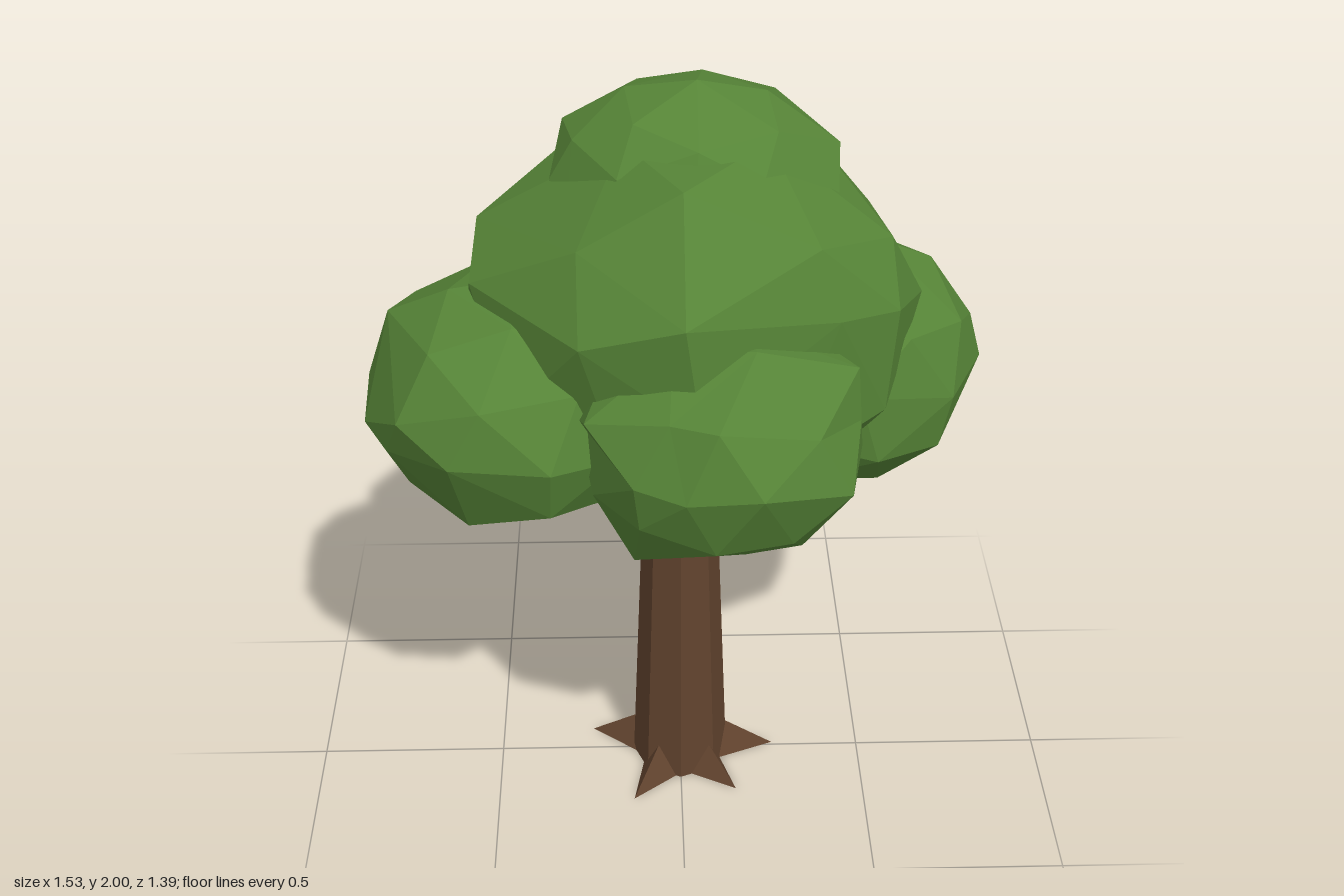
import * as THREE from 'three';

const leaf = new THREE.MeshStandardMaterial({ color: 0x568437, flatShading: true });
leaf.name = 'leafGreen';
const bark = new THREE.MeshStandardMaterial({ color: 0x61432e, flatShading: true });
bark.name = 'barkBrown';

// Faceted leaf clump filling the box min..max; each peak pulls its nearest corner to itself
function clump(name, min, max, rotation, peaks) {
  const geo = new THREE.IcosahedronGeometry(1, 1);
  geo.rotateX(rotation[0]).rotateY(rotation[1]).rotateZ(rotation[2]);
  geo.computeBoundingBox();
  const size = geo.boundingBox.getSize(new THREE.Vector3());
  geo.scale(...['x', 'y', 'z'].map((k, i) => (max[i] - min[i]) / size[k]));
  geo.translate(...min.map((n, i) => (n + max[i]) / 2));

  // Gather coincident corners so that they move together
  const pos = geo.attributes.position;
  const corners = [];
  for (let i = 0; i < pos.count; i++) {
    const p = new THREE.Vector3().fromBufferAttribute(pos, i);
    const same = corners.find((c) => c.p.distanceTo(p) < 0.01);
    if (same) same.ids.push(i);
    else corners.push({ p, ids: [i] });
  }
  for (const peak of peaks) {
    const target = new THREE.Vector3(...peak);
    corners.sort((a, b) => a.p.distanceTo(target) - b.p.distanceTo(target));
    const { ids } = corners.shift();
    ids.forEach((i) => pos.setXYZ(i, ...peak));
  }
  geo.computeVertexNormals();
  const mesh = new THREE.Mesh(geo, leaf);
  mesh.name = name;
  return mesh;
}

// Tapered limb running from one point to another
function limb(name, from, to, r0, r1, sides) {
  const a = new THREE.Vector3(...from);
  const b = new THREE.Vector3(...to);
  const dir = b.clone().sub(a);
  const geo = new THREE.CylinderGeometry(r1, r0, dir.length(), sides);
  geo.applyQuaternion(new THREE.Quaternion().setFromUnitVectors(new THREE.Vector3(0, 1, 0), dir.normalize()));
  geo.translate(...a.add(b).multiplyScalar(0.5).toArray());
  const mesh = new THREE.Mesh(geo, bark);
  mesh.name = name;
  return mesh;
}

// Ridged root pointing outward, flat on the ground
function root(x, z) {
  const start = 0.07;
  const length = Math.hypot(x, z) - start;
  const geo = new THREE.ConeGeometry(0.125, length, 4);
  geo.rotateX(Math.PI / 2).scale(0.55, 1, 1).translate(0, 0, start + length / 2);
  const pos = geo.attributes.position;
  for (let i = 0; i < pos.count; i++) pos.setY(i, Math.max(0, pos.getY(i)));
  geo.rotateY(Math.atan2(x, z));
  geo.computeVertexNormals();
  const mesh = new THREE.Mesh(geo, bark);
  mesh.name = 'root';
  return mesh;
}

export function createModel() {
  const tree = new THREE.Group();
  tree.name = 'tree';

  // Eight-sided trunk
  tree.add(limb('trunk', [0, 0, 0], [0, 1.15, 0], 0.13, 0.086, 8));

  const roots = new THREE.Group();
  roots.name = 'roots';
  for (const [x, z] of [[0.26, -0.01], [0.15, 0.18], [-0.13, 0.215], [-0.245, -0.08], [0.01, -0.225]]) {
    roots.add(root(x, z));
  }
  tree.add(roots);

  // Branches reaching toward the side and back clumps
  const branches = new THREE.Group();
  branches.name = 'branches';
  for (const [x, z] of [[0.24, -0.07], [-0.24, 0.08], [-0.05, -0.2]]) {
    branches.add(limb('branch', [x * 0.2, 0.85, z * 0.2], [x, 1.07, z], 0.045, 0.035, 5));
  }
  tree.add(branches);

  // Crown of six overlapping clumps
  const crown = new THREE.Group();
  crown.name = 'crown';
  crown.add(
    clump('middleClump', [-0.52, 0.98, -0.53], [0.59, 1.88, 0.53], [-0.47, 0, 0], [
      [0, 1.88, 0.31], [0, 1.65, 0.53], [0.5, 1.66, 0.1], [0.59, 1.47, 0.02], [0.36, 1.57, 0.35],
      [-0.49, 1.65, -0.05], [-0.5, 1.58, 0.16], [-0.24, 1.56, 0.45], [-0.08, 1.68, -0.52],
    ]),
    clump('topClump', [-0.31, 1.55, -0.35], [0.38, 1.98, 0.22], [0.3, 0.5, 0.1], [
      [0.04, 2, -0.04], [0.38, 1.84, -0.04], [0.37, 1.73, 0.09], [0.24, 1.75, 0.24],
      [-0.28, 1.86, -0.15], [-0.31, 1.77, 0], [0.15, 1.84, -0.34], [-0.13, 1.96, -0.1],
    ]),
    clump('frontClump', [-0.25, 1.0, 0.02], [0.425, 1.56, 0.68], [0.2, 0.3, 0.4], [
      [0.17, 1.31, 0.695], [0.07, 1.46, 0.65], [0.38, 1.25, 0.58], [0.4, 1.48, 0.4], [0.16, 1.565, 0.47],
      [-0.23, 1.4, 0.5], [0.28, 1.02, 0.45], [-0.12, 1.02, 0.5], [-0.12, 1.3, 0.62],
    ]),
    clump('rightClump', [-0.77, 0.94, -0.27], [-0.03, 1.56, 0.49], [0.5, 0.2, 0.1], [
      [-0.77, 1.27, 0.04], [-0.71, 1.45, 0.05], [-0.71, 1.2, 0.29], [-0.55, 1.25, 0.46],
      [-0.31, 1.25, 0.49], [-0.65, 1.3, -0.18], [-0.4, 1.57, 0.12], [-0.59, 0.95, 0.12], [-0.36, 0.94, 0.2],
    ]),
    clump('leftClump', [0.04, 0.915, -0.49], [0.75, 1.53, 0.26], [0.1, 0.7, 0.3], [
      [0.765, 1.23, -0.08], [0.69, 1.23, -0.31], [0.67, 1.23, 0.13], [0.58, 1.46, -0.1],
      [0.53, 1.25, -0.49], [0.28, 1.25, -0.49], [0.6, 0.93, -0.25], [0.38, 0.915, -0.13], [0.45, 1.535, -0.17],
    ]),
    clump('backClump', [-0.455, 1.08, -0.69], [0.285, 1.64, 0.03], [0.4, 1.0, 0.2], [
      [-0.08, 1.36, -0.7], [-0.3, 1.27, -0.64], [-0.455, 1.35, -0.48], [0.05, 1.5, -0.62],
      [0.285, 1.4, -0.42], [-0.05, 1.62, -0.48], [-0.1, 1.2, -0.65],
    ]),
  );
  tree.add(crown);
  return tree;
}
